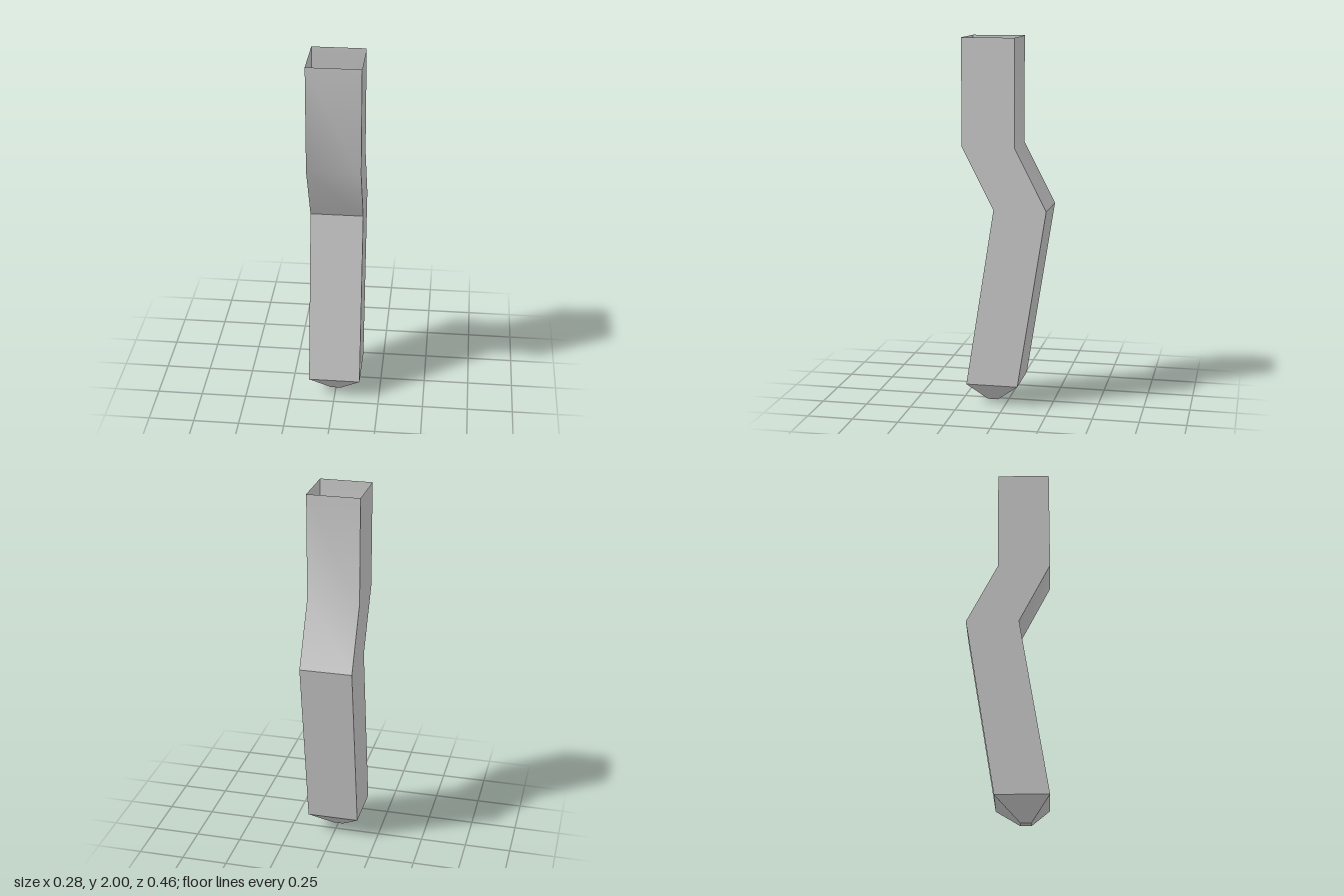
import * as THREE from 'three';
import { toCreasedNormals } from 'three/addons/utils/BufferGeometryUtils.js';

// Skin a stack of rectangular cross-sections [y, half width, back z, front z], listed top to bottom
function loft(sections, closeBottom) {
  const positions = [];
  const indices = [];
  for (const [y, w, back, front] of sections) {
    positions.push(-w, y, front, w, y, front, w, y, back, -w, y, back);
  }
  for (let s = 0; s < sections.length - 1; s++) {
    for (let i = 0; i < 4; i++) {
      const a = s * 4 + i;
      const d = s * 4 + (i + 1) % 4;
      indices.push(a, a + 4, d + 4, a, d + 4, d);
    }
  }
  if (closeBottom) {
    const b = (sections.length - 1) * 4;
    indices.push(b, b + 3, b + 2, b, b + 2, b + 1);
  }
  const geometry = new THREE.BufferGeometry();
  geometry.setAttribute('position', new THREE.Float32BufferAttribute(positions, 3));
  geometry.setIndex(indices);
  // The upper bend is shaded smooth, the sharper lower bend stays creased
  return toCreasedNormals(geometry, Math.PI / 6);
}

export function createModel() {
  const group = new THREE.Group();
  group.name = 'bentSpike';
  const grey = new THREE.MeshStandardMaterial({ color: 0xcccccc, side: THREE.DoubleSide });
  grey.name = 'light grey';

  const add = (name, geometry) => {
    const mesh = new THREE.Mesh(geometry, grey);
    mesh.name = name;
    group.add(mesh);
  };

  // Hollow square shaft, open at the top, with two bends
  const shaftEnd = [0.115, 0.142, -0.073, 0.211];
  add('shaft', loft([
    [2, 0.142, -0.057, 0.228],
    [1.425, 0.142, -0.057, 0.228],
    [1.09, 0.142, -0.228, 0.057],
    shaftEnd,
  ], false));

  // Blunt tapered tip
  add('tip', loft([shaftEnd, [0, 0.028, 0.058, 0.115]], true));

  return group;
}
